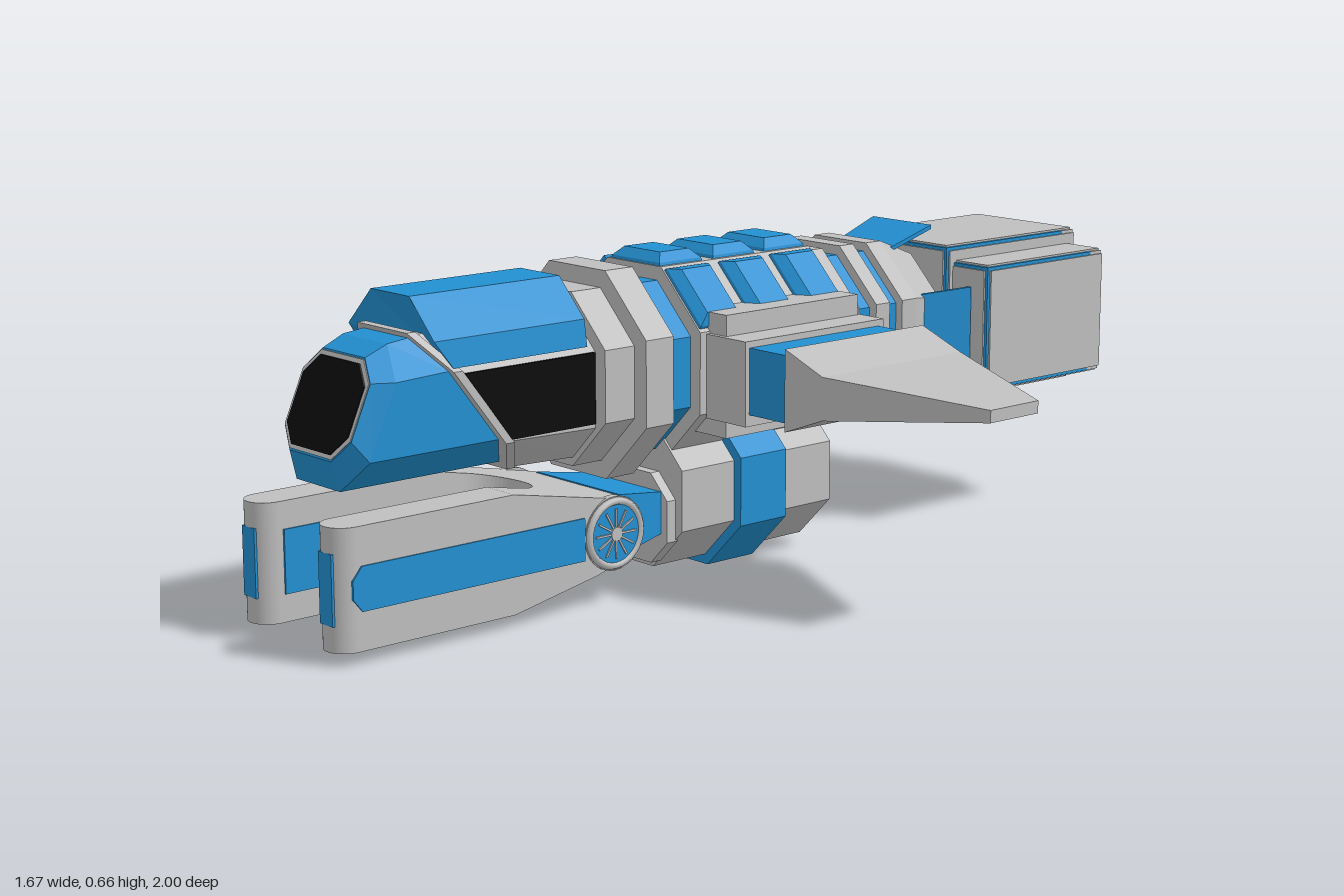
import * as THREE from 'three';

const mat = (name, color) => Object.assign(new THREE.MeshStandardMaterial({ color }), { name });

export function createModel() {
  const grey = mat('hull grey', 0xbfbfbf);
  const blue = mat('panel blue', 0x2390d2);
  const black = mat('window black', 0x0c0c0c);
  const root = new THREE.Group();
  root.name = 'spaceship';
  const CY = 0.435; // height of the hull axis

  const add = (name, geo, m, parent = root) => {
    const mesh = new THREE.Mesh(geo, m);
    mesh.name = name;
    parent.add(mesh);
    return mesh;
  };
  const box = (name, m, x0, x1, y0, y1, z0, z1, parent) => {
    const g = new THREE.BoxGeometry(x1 - x0, y1 - y0, z1 - z0);
    g.translate((x0 + x1) / 2, (y0 + y1) / 2, (z0 + z1) / 2);
    return add(name, g, m, parent);
  };
  // convex outlines, counterclockwise seen from +z
  const rect = (x0, x1, y0, y1) => [[x1, y0], [x1, y1], [x0, y1], [x0, y0]];
  const oct = (w, y0, y1, c) => [[w, y0 + c], [w, y1 - c], [w - c, y1], [c - w, y1],
    [-w, y1 - c], [-w, y0 + c], [c - w, y0], [w - c, y0]];
  const regOct = (r, cy = CY) => oct(r, cy - r, cy + r, r * 0.586);
  // place an outline at a depth that may depend on height
  const ring = (pts, z) => pts.map(([x, y]) => [x, y, typeof z === 'function' ? z(y) : z]);
  // faceted solid through rings ordered from back to front
  const loft = (rings) => {
    const p = [], n = rings[0].length, last = rings[rings.length - 1];
    for (let i = 0; i < rings.length - 1; i++) {
      for (let j = 0; j < n; j++) {
        const k = (j + 1) % n, a = rings[i][j], b = rings[i][k], c = rings[i + 1][k], d = rings[i + 1][j];
        p.push(...a, ...b, ...c, ...a, ...c, ...d);
      }
    }
    for (let j = 1; j < n - 1; j++) {
      p.push(...last[0], ...last[j], ...last[j + 1]);
      p.push(...rings[0][0], ...rings[0][j + 1], ...rings[0][j]);
    }
    const g = new THREE.BufferGeometry();
    g.setAttribute('position', new THREE.Float32BufferAttribute(p, 3));
    g.computeVertexNormals();
    return g;
  };
  const prism = (name, m, pts, z0, z1) => add(name, loft([ring(pts, z0), ring(pts, z1)]), m);
  const extrude = (shape, depth) =>
    new THREE.ExtrudeGeometry(shape, { depth, bevelEnabled: false, curveSegments: 16 });
  const poly = (pts) => new THREE.Shape(pts.map(([x, y]) => new THREE.Vector2(x, y)));

  // hull sections along the axis: name, material, radius, back, front
  [['frontCollar', grey, 0.172, 0.305, 0.38], ['frontRing', grey, 0.207, 0.237, 0.307],
    ['frontBand', blue, 0.17, 0.15, 0.24], ['midHull', grey, 0.198, -0.245, 0.16],
    ['rearRibA', grey, 0.188, -0.288, -0.24], ['rearBandA', blue, 0.168, -0.34, -0.285],
    ['rearRibB', grey, 0.188, -0.378, -0.338], ['rearBandB', blue, 0.168, -0.42, -0.375],
    ['engineNeck', blue, 0.1, -0.62, -0.56],
  ].forEach(([name, m, r, z0, z1]) => prism(name, m, regOct(r), z0, z1));
  add('rearCone', loft([ring(regOct(0.145), -0.572), ring(regOct(0.186), -0.46), ring(regOct(0.186), -0.417)]), grey);

  // raised roof tiles, three rows on three hull faces
  for (const z of [0.1, -0.042, -0.182]) {
    for (const turn of [-1, 0, 1]) {
      const g = loft([ring(rect(-0.074, 0.074, -0.057, 0.057), 0), ring(rect(-0.072, 0.072, -0.055, 0.055), 0.008),
        ring(rect(-0.054, 0.054, -0.038, 0.038), 0.026)]);
      g.rotateX(-Math.PI / 2).translate(0, 0.196, z).rotateZ(turn * Math.PI / 4);
      // keep the tile rows in place after turning about the hull axis
      g.translate(0, CY, 0);
      add('roofTile', g, blue);
    }
  }

  // nose, collar and cabin share a slanted joint
  const slant = (y) => 0.56 + (y - 0.3) * 0.78;
  const noseFace = (y) => 0.94 - (y - 0.36) * 0.44;
  add('nose', loft([ring(oct(0.13, 0.3, 0.565, 0.06), slant),
    ring(oct(0.13, 0.3, 0.56, 0.06), (y) => 0.925 - (y - 0.3) * 0.43),
    ring(oct(0.107, 0.358, 0.54, 0.04), noseFace)]), blue);
  const plate = (w, y0, y1, c, t) => {
    const o = oct(w, y0, y1, c);
    return loft([ring(o, (y) => noseFace(y) - 0.003), ring(o, (y) => noseFace(y) + t)]);
  };
  add('noseWindowTrim', plate(0.105, 0.362, 0.537, 0.038, 0.002), grey);
  add('noseWindow', plate(0.097, 0.37, 0.529, 0.035, 0.005), black);
  const collar = oct(0.148, 0.284, 0.576, 0.07);
  add('cabinCollar', loft([ring(collar, (y) => slant(y) - 0.02), ring(collar, slant)]), grey);
  add('cabin', loft([ring(oct(0.142, 0.28, 0.57, 0.07), 0.36),
    ring(oct(0.142, 0.286, 0.57, 0.07), (y) => slant(y) - 0.01)]), grey);
  const hood = [[0.143, 0.512], [0.135, 0.565], [0.06, 0.64], [-0.06, 0.64], [-0.135, 0.565], [-0.143, 0.512]];
  add('canopy', loft([ring(hood, 0.4), ring(hood, (y) => (y > 0.55 ? 0.755 : 0.718))]), blue);
  for (const s of [1, -1]) {
    const g = extrude(poly([[0.385, 0.36], [0.588, 0.36], [0.695, 0.5], [0.385, 0.5]]), 0.008);
    g.rotateY(-Math.PI / 2).translate(s * 0.145 + 0.004, 0, 0);
    add('sideWindow', g, black);
  }

  // wings with their mounts
  for (const s of [1, -1]) {
    const side = (name, m, a, b, y0, y1, z0, z1) =>
      box(name, m, Math.min(s * a, s * b), Math.max(s * a, s * b), y0, y1, z0, z1);
    side('wingMountBase', grey, 0.15, 0.246, 0.31, 0.555, -0.225, 0.135);
    side('wingMount', grey, 0.2, 0.312, 0.345, 0.513, -0.233, 0.145);
    side('wingRoot', blue, 0.3, 0.43, 0.368, 0.5, -0.217, 0.135);
    const section = ([x, z0, z1, h]) => {
      const [a, b] = s > 0 ? [-z1, -z0] : [z0, z1];
      return ring(rect(a, b, 0.433 - h, 0.433 + h), x);
    };
    const g = loft([[0.418, -0.235, 0.142, 0.081], [0.52, -0.235, 0.142, 0.042], [0.835, -0.108, 0.022, 0.012]].map(section));
    add('wing', g.rotateY(s * Math.PI / 2), grey);
  }

  // belly pod with its strap and front coupling
  prism('bellyPod', grey, regOct(0.15, 0.17), -0.245, 0.165);
  prism('bellyStrap', blue, regOct(0.17, 0.17), -0.1, 0.025);
  prism('podPlate', grey, oct(0.13, 0.035, 0.22, 0.05), 0.16, 0.187);
  add('forkCoupling', loft([ring(rect(-0.11, 0.11, 0.102, 0.186), 0.18),
    ring(rect(-0.13, 0.13, 0.08, 0.205), 0.31)]), blue);

  // front fork: plan outlines raised to full height, tapering to the rear
  const FY = 0.142;
  const plan = (shape, y0, y1) => extrude(shape, y1 - y0).rotateX(Math.PI / 2).translate(0, y1, 0);
  const back = poly([[-0.15, 0.3], [0.15, 0.3], [0.166, 0.4], [0.166, 0.6], [0.083, 0.6]]);
  back.lineTo(0.083, 0.53);
  back.absarc(0, 0.53, 0.083, 0, -Math.PI, true);
  back.lineTo(-0.083, 0.6);
  back.lineTo(-0.166, 0.6);
  back.lineTo(-0.166, 0.4);
  const forkBack = plan(back, FY - 0.117, FY + 0.117);
  const pos = forkBack.attributes.position;
  for (let i = 0; i < pos.count; i++) {
    const k = 0.5 + (0.5 * (pos.getZ(i) - 0.3)) / 0.3;
    pos.setY(i, FY + (pos.getY(i) - FY) * k);
  }
  forkBack.computeVertexNormals();
  add('forkBack', forkBack, grey);
  const lining = new THREE.Shape();
  lining.moveTo(0.084, 0.95);
  lining.lineTo(0.084, 0.53);
  lining.absarc(0, 0.53, 0.084, 0, -Math.PI, true);
  lining.lineTo(-0.084, 0.95);
  lining.lineTo(-0.079, 0.95);
  lining.lineTo(-0.079, 0.53);
  lining.absarc(0, 0.53, 0.079, -Math.PI, 0, false);
  lining.lineTo(0.079, 0.95);
  add('forkLining', plan(lining, 0.08, 0.205), blue);

  for (const s of [1, -1]) {
    const arm = new THREE.Shape();
    arm.moveTo(s * 0.1245 - 0.0415, 0.6);
    arm.lineTo(s * 0.1245 + 0.0415, 0.6);
    arm.absarc(s * 0.1245, 0.9585, 0.0415, 0, Math.PI, false);
    add('forkArm', plan(arm, FY - 0.117, FY + 0.117), grey);
    box('forkTipStripe', blue, s * 0.1245 - 0.02, s * 0.1245 + 0.02, 0.075, 0.21, 0.985, 1);
    const stripe = extrude(poly([[0.43, 0.1], [0.95, 0.1], [0.97, 0.125], [0.97, 0.16], [0.95, 0.185], [0.43, 0.185]]), 0.006);
    add('forkStripe', stripe.rotateY(-Math.PI / 2).translate(s * 0.166 + 0.003, 0, 0), blue);

    // spoked wheel at the fork hinge
    const wheel = new THREE.Group();
    wheel.name = 'hingeWheel';
    wheel.position.set(s * 0.16, FY, 0.355);
    wheel.rotation.y = s * Math.PI / 2;
    root.add(wheel);
    add('wheelDrum', new THREE.CylinderGeometry(0.074, 0.074, 0.016, 32).rotateX(Math.PI / 2), grey, wheel);
    add('wheelDisc', new THREE.CylinderGeometry(0.058, 0.058, 0.006, 32).rotateX(Math.PI / 2).translate(0, 0, 0.008), blue, wheel);
    add('wheelRim', new THREE.TorusGeometry(0.064, 0.008, 6, 32).translate(0, 0, 0.008), grey, wheel);
    for (let i = 0; i < 12; i++) {
      add('wheelSpoke', new THREE.BoxGeometry(0.036, 0.004, 0.004).translate(0.032, 0, 0.012).rotateZ(i * Math.PI / 6), grey, wheel);
    }
    add('wheelHub', new THREE.CylinderGeometry(0.014, 0.014, 0.008, 12).rotateX(Math.PI / 2).translate(0, 0, 0.011), grey, wheel);
  }

  // four flared flaps around the engine neck
  for (let i = 0; i < 4; i++) {
    const flap = loft([ring(rect(-0.087, 0.087, 0.198, 0.207), -0.605), ring(rect(-0.078, 0.078, 0.158, 0.167), -0.485)]);
    add('neckFlap', flap.rotateZ(i * Math.PI / 2).translate(0, CY, 0), blue);
  }

  // engine blocks: blue core, inset grey plates, louvred back
  const engine = (name, cx, w, h, z0, z1, slats) => {
    const g = new THREE.Group();
    g.name = name;
    g.position.set(cx, CY, 0);
    root.add(g);
    const e = 0.007, t = 0.004, zr = z0 + 0.035;
    box('engineCore', blue, -w, w, -h, h, zr, z1, g);
    for (const s of [1, -1]) {
      box('enginePlate', grey, e - w, w - e, s * h - t, s * h + t, z0, z1 - e, g);
      box('engineSide', grey, s * w - t, s * w + t, e - h, h - e, z0, z1 - e, g);
    }
    box('engineFront', grey, e - w, w - e, e - h, h - e, z1 - t, z1 + t, g);
    const frame = poly(rect(-w, w, -h, h));
    frame.holes.push(poly(rect(0.02 - w, w - 0.02, 0.022 - h, h - 0.022)));
    add('backFrame', extrude(frame, 0.036).translate(0, 0, z0), grey, g);
    const step = (2 * h - 0.044) / slats;
    for (let i = 0; i < slats; i++) {
      const slat = new THREE.BoxGeometry(2 * w - 0.04, 0.008, 0.036).rotateX(-0.6);
      add('louvre', slat.translate(0, 0.022 - h + (i + 0.5) * step, z0 + 0.02), blue, g);
    }
  };
  engine('mainEngine', 0, 0.146, 0.165, -1, -0.592, 6);
  for (const s of [1, -1]) engine('sideEngine', s * 0.195, 0.052, 0.132, -0.978, -0.612, 5);

  return root;
}
